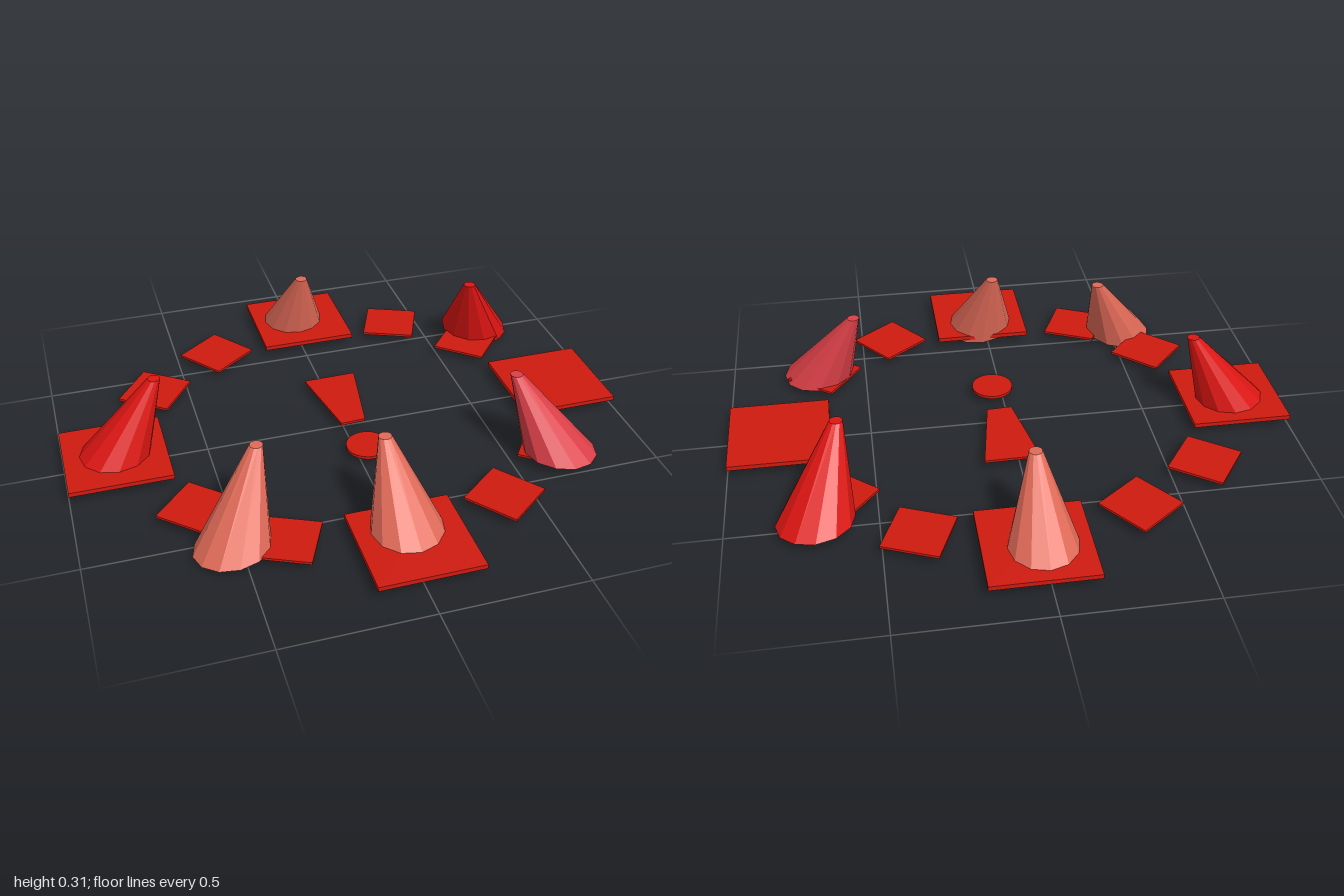
import * as THREE from 'three';

const material = (color) => new THREE.MeshStandardMaterial({ color, flatShading: true });

// Cone whose axis leans from base [x, z] to tip [x, z]; the base ring is tilted by slope [dy/dx, dy/dz]
function leaningCone({ base, tip, radius, baseY, tipY, slope }) {
  const g = new THREE.CylinderGeometry(0.022, radius, 1, 12);
  const p = g.attributes.position;
  for (let i = 0; i < p.count; i++) {
    const x = p.getX(i), z = p.getZ(i), t = p.getY(i) + 0.5;
    const foot = baseY + slope[0] * x + slope[1] * z;
    p.setXYZ(i,
      x + THREE.MathUtils.lerp(base[0], tip[0], t),
      THREE.MathUtils.lerp(foot, tipY, t),
      z + THREE.MathUtils.lerp(base[1], tip[1], t));
  }
  g.computeVertexNormals();
  return g;
}

export function createModel() {
  const group = new THREE.Group();
  const plateRed = material(0xd01a10);
  const brightRed = material(0xdd1512);
  const salmon = material(0xe06a58);
  const crimson = material(0xdc4048);

  const add = (name, geometry, mat) => {
    const mesh = new THREE.Mesh(geometry, mat);
    mesh.name = name;
    group.add(mesh);
    return mesh;
  };

  // Four large square plates
  const plate = new THREE.BoxGeometry(0.355, 0.016, 0.355);
  for (const [name, x, z] of [
    ['backPlate', 0.022, -0.715], ['frontPlate', 0.022, 0.71],
    ['leftPlate', 0.822, -0.007], ['rightPlate', -0.822, -0.007],
  ]) add(name, plate, plateRed).position.set(x, 0.042, z);

  // Eight small tiles around the ring: x, z, turn in degrees
  const tile = new THREE.BoxGeometry(0.197, 0.009, 0.197);
  for (const [x, z, turn] of [
    [-0.35, -0.57, 53], [-0.625, -0.375, 36], [0.38, -0.60, 23], [0.63, -0.377, 41],
    [0.655, 0.365, 36], [-0.60, 0.35, 43], [-0.36, 0.585, 25], [0.39, 0.57, 52],
  ]) {
    const mesh = add('tile', tile, plateRed);
    mesh.position.set(x, 0.037, z);
    mesh.rotation.y = -THREE.MathUtils.degToRad(turn);
  }

  // Flat tapered bar and round dot in the middle
  const bar = new THREE.Shape([
    [-0.07, -0.27], [0.125, -0.273], [0.075, 0.03], [-0.015, 0.035],
  ].map(([x, z]) => new THREE.Vector2(x, z)));
  const barGeometry = new THREE.ExtrudeGeometry(bar, { depth: 0.009, bevelEnabled: false });
  barGeometry.rotateX(Math.PI / 2);
  add('centreBar', barGeometry, plateRed).position.y = 0.042;
  add('centreDot', new THREE.CylinderGeometry(0.075, 0.075, 0.011, 24), plateRed)
    .position.set(0.035, 0.038, 0.182);

  // Six leaning cones
  const cones = [
    { name: 'rightCone', mat: brightRed, base: [-0.825, -0.022], tip: [-0.66, -0.028], radius: 0.127, baseY: 0.034, tipY: 0.318, slope: [-0.05, 0.08] },
    { name: 'frontRightCone', mat: salmon, base: [-0.53, 0.55], tip: [-0.41, 0.42], radius: 0.127, baseY: 0.021, tipY: 0.305, slope: [0.08, 0.1] },
    { name: 'frontCone', mat: salmon, base: [0.025, 0.657], tip: [-0.012, 0.505], radius: 0.13, baseY: 0.029, tipY: 0.315, slope: [-0.07, 0.08] },
    { name: 'frontLeftCone', mat: crimson, base: [0.675, 0.39], tip: [0.53, 0.295], radius: 0.13, baseY: 0.035, tipY: 0.315, slope: [-0.06, 0.03] },
    { name: 'backLeftCone', mat: brightRed, base: [0.705, -0.488], tip: [0.612, -0.34], radius: 0.13, baseY: 0.032, tipY: 0.315, slope: [-0.06, -0.09] },
    { name: 'backCone', mat: salmon, base: [0, -0.743], tip: [0.005, -0.585], radius: 0.125, baseY: 0.023, tipY: 0.307, slope: [0.04, -0.07] },
  ];
  for (const cone of cones) add(cone.name, leaningCone(cone), cone.mat);

  return group;
}
